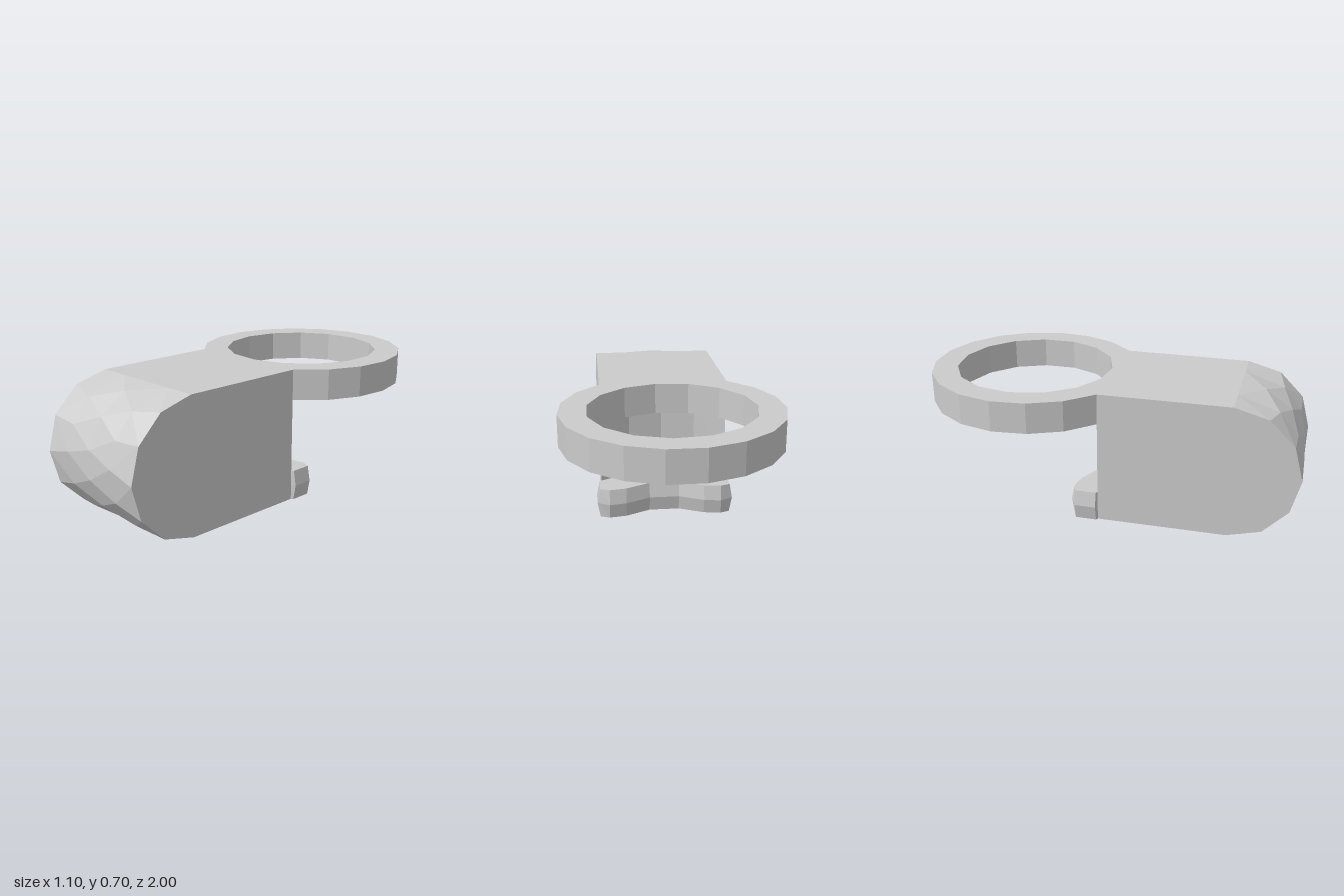
import * as THREE from 'three';

const H = 0.705, W = 0.333, R = 0.55, RING_Z = -0.457, NOSE_Z = 0.65;
const material = new THREE.MeshStandardMaterial({ color: 0xcccccc, flatShading: true, side: THREE.DoubleSide });

// Regular polygon around the ring centre, in (x, z); angle 0 points to +z
const ringPoint = (r, a) => new THREE.Vector2(r * Math.sin(a), RING_Z + r * Math.cos(a));
const polygon = (r, n, start) =>
  Array.from({ length: n }, (_, i) => ringPoint(r, start + (i / n) * Math.PI * 2));

// Extrude a plan outline in (x, z) between two heights
function plate(shape, y0, y1, steps = 1) {
  const g = new THREE.ExtrudeGeometry(shape, { depth: y1 - y0, bevelEnabled: false, steps });
  return g.rotateX(Math.PI / 2).translate(0, y1, 0);
}

// Faceted half-round nose: arcs at several x stations, zipped together
function noseGeometry() {
  const edge = [90, 60, 30, 0, -30, -60, -90];
  const inner = [90, 53, 28, 6, -22, -53, -90];
  const centre = [90, 69, 41, 14, -10, -36, -66, -90];
  const arcs = [[-W, edge], [-0.17, inner], [0, centre], [0.17, inner], [W, edge]];
  const pos = [];
  const point = (x, deg) => {
    const a = THREE.MathUtils.degToRad(deg);
    return [x, H / 2 * (1 + Math.sin(a)), NOSE_Z + 0.35 * Math.cos(a)];
  };
  const tri = (...pts) => pts.forEach((p) => pos.push(...p));
  for (let s = 0; s < arcs.length - 1; s++) {
    const [xa, A] = arcs[s], [xb, B] = arcs[s + 1];
    let i = 0, j = 0;
    while (i < A.length - 1 || j < B.length - 1) {
      const a = point(xa, A[i]), b = point(xb, B[j]);
      if (j === B.length - 1 || (i < A.length - 1 && A[i + 1] >= B[j + 1])) tri(a, point(xa, A[++i]), b);
      else tri(a, point(xb, B[++j]), b);
    }
  }
  // Flat side caps
  for (let i = 1; i < edge.length - 1; i++) {
    tri(point(W, 90), point(W, edge[i]), point(W, edge[i + 1]));
    tri(point(-W, 90), point(-W, edge[i + 1]), point(-W, edge[i]));
  }
  const g = new THREE.BufferGeometry();
  g.setAttribute('position', new THREE.Float32BufferAttribute(pos, 3));
  g.computeVertexNormals();
  return g;
}

export function createModel() {
  const group = new THREE.Group();
  const add = (name, geometry) => {
    const mesh = new THREE.Mesh(geometry, material);
    mesh.name = name;
    group.add(mesh);
  };

  // Hollow of the body's back, following the ring's outer polygon
  const hollow = [2, 1, 0, -1, -2].map((i) => ringPoint(R, (i / 19) * Math.PI * 2));

  // Body block with concave back
  add('body', plate(new THREE.Shape([
    new THREE.Vector2(-W, NOSE_Z), new THREE.Vector2(W, NOSE_Z), ...hollow,
  ]), 0, H));
  add('roundedNose', noseGeometry());

  // Holder ring, flush with the top of the body
  const ring = new THREE.Shape(polygon(R, 19, 0));
  ring.holes.push(new THREE.Path(polygon(0.417, 15, -Math.PI / 2)));
  add('holderRing', plate(ring, 0.545, H));

  // Lower curved lip with two horns; its rim bulges at mid height
  const half = [[0.35, -0.03], [0.35, -0.08], [0.35, -0.14], [0.3, -0.16], [0.21, -0.145], [0.08, -0.082]];
  const rim = [...half.map(([x, z]) => [-x, z]), ...half.slice().reverse()];
  const lip = plate(new THREE.Shape([
    ...hollow, ...rim.map(([x, z]) => new THREE.Vector2(x, z)),
  ]), 0, 0.16, 2);
  const p = lip.attributes.position;
  for (let i = 0; i < p.count; i++) {
    const x = p.getX(i), z = p.getZ(i);
    if (Math.abs(p.getY(i) - 0.08) > 0.01) continue;
    if (Math.abs(x) > 0.34) p.setX(i, x + Math.sign(x) * 0.015);
    if (z < -0.07 && Math.abs(x) < 0.34) p.setZ(i, z - 0.015);
  }
  lip.computeVertexNormals();
  add('lowerLip', lip);

  return group;
}
